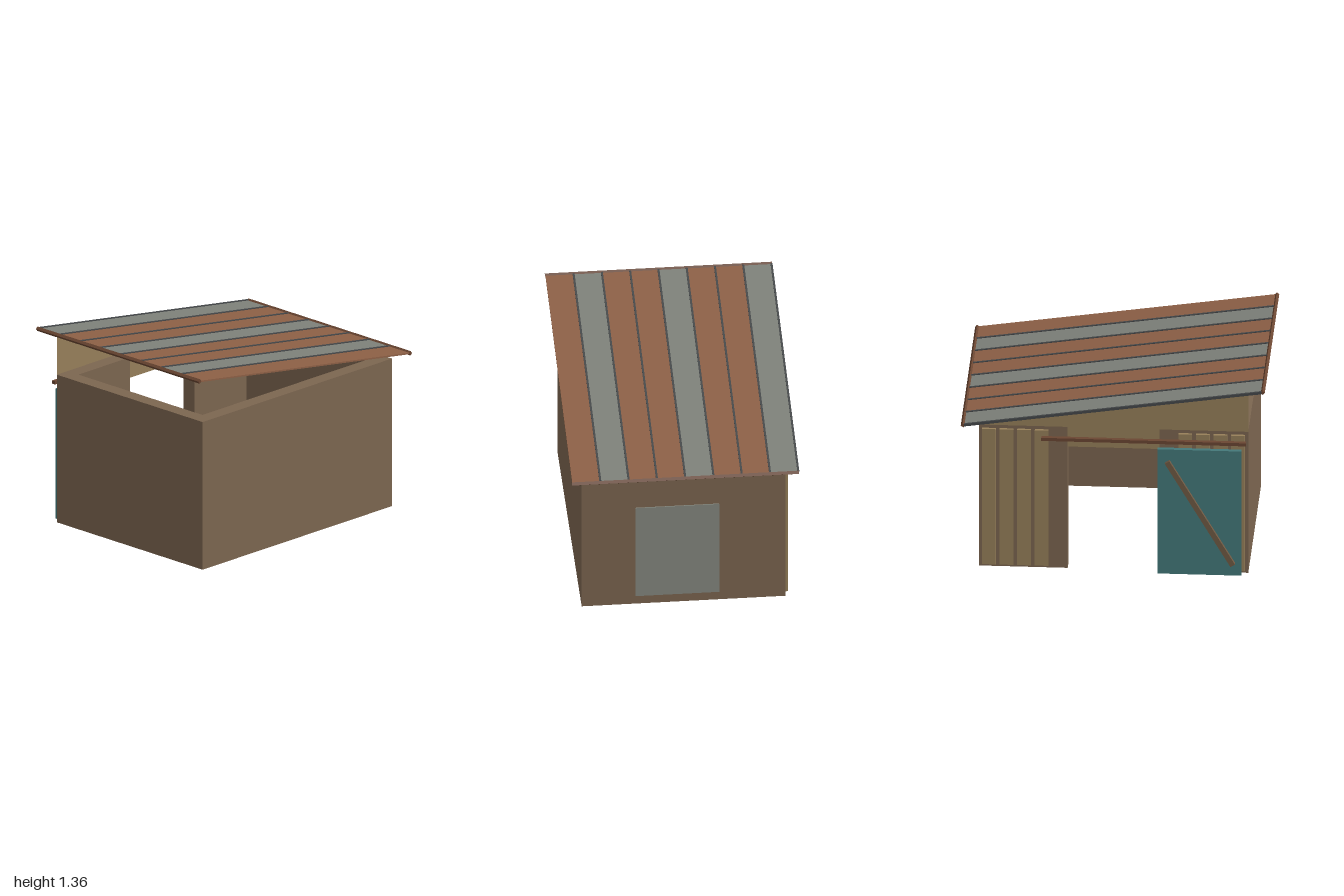
import * as THREE from 'three';

const mat = (color, extra = {}) => new THREE.MeshStandardMaterial({ color, ...extra });
const wallMat = mat(0x7c6650);
const timber = mat(0x97805a);
const gableMat = mat(0x97805a, { side: THREE.DoubleSide });
const glass = mat(0x868980);
const rust = mat(0x8c5f45);
const zinc = mat(0x7d8079);
const seamMat = mat(0x45484a);
const trimMat = mat(0x6b4632);
const teal = mat(0x44797a);
const braceMat = mat(0x6f5a44);

// Box given by its minimum and maximum corners
function box(parent, name, material, [x0, y0, z0], [x1, y1, z1]) {
  const mesh = new THREE.Mesh(new THREE.BoxGeometry(x1 - x0, y1 - y0, z1 - z0), material);
  mesh.position.set((x0 + x1) / 2, (y0 + y1) / 2, (z0 + z1) / 2);
  mesh.name = name;
  parent.add(mesh);
  return mesh;
}

const W = 0.882, H = 1.022, ZF = 0.672, ZB = -0.665, T = 0.1;

function createWalls() {
  const g = new THREE.Group();
  g.name = 'walls';
  box(g, 'frontWall', wallMat, [-W, 0, ZF - T], [W, H, ZF]);
  for (const s of [-1, 1]) {
    const side = box(g, s > 0 ? 'leftWall' : 'rightWall', wallMat, [W - T, 0, ZB + T], [W, H, ZF - T]);
    side.position.x *= s;
    // Back wall beside the doorway
    const back = box(g, 'backWall', wallMat, [0.3, 0, ZB], [W, H, ZB + T]);
    back.position.x *= s;
    // Upright boards on the back wall
    for (let i = 0; i < 4; i++) {
      const x = 0.77 - i * 0.115;
      const board = box(g, 'board', timber, [x, 0.02, ZB - 0.02], [x + 0.09, 1.0, ZB]);
      board.position.x *= s;
    }
  }
  box(g, 'lintel', timber, [-0.3, 0.88, ZB], [0.3, H, ZB + T]);

  // Thin sloping gable above the back wall
  const tri = new THREE.Shape([
    new THREE.Vector2(-W, H), new THREE.Vector2(W, H), new THREE.Vector2(-W, 1.31),
  ]);
  const gable = new THREE.Mesh(new THREE.ShapeGeometry(tri), gableMat);
  gable.position.z = ZB;
  gable.name = 'gable';
  g.add(gable);

  box(g, 'window', glass, [W - 0.005, 0.063, -0.23], [W + 0.006, 0.765, 0.32]);
  return g;
}

function createDoor() {
  const g = new THREE.Group();
  g.name = 'slidingDoor';
  box(g, 'doorPanel', teal, [-0.84, 0.003, -0.718], [-0.29, 0.903, -0.688]);
  box(g, 'doorRail', trimMat, [-0.87, 0.943, -0.722], [0.47, 0.965, -0.694]);

  // Diagonal brace across the door
  const top = new THREE.Vector2(-0.355, 0.82), low = new THREE.Vector2(-0.785, 0.085);
  const d = top.clone().sub(low);
  const brace = new THREE.Mesh(new THREE.BoxGeometry(d.length(), 0.035, 0.026), braceMat);
  brace.position.set((top.x + low.x) / 2, (top.y + low.y) / 2, -0.731);
  brace.rotation.z = d.angle();
  brace.name = 'doorBrace';
  g.add(brace);
  return g;
}

function createRoof() {
  const g = new THREE.Group();
  g.name = 'roof';
  const L = 0.985, pitch = 0.1855, z0 = -0.742;
  for (let i = 0; i < 8; i++) {
    const z = z0 + i * pitch;
    const sheet = [0, 3, 6].includes(i) ? zinc : rust;
    box(g, 'roofSheet', sheet, [-L, -0.006, z], [L, 0.004, z + pitch]);
    // Raised seam along the edge of the sheet
    box(g, 'roofSeam', seamMat, [-L, -0.008, z - 0.005], [L, 0.01, z + 0.008]);
  }
  // Trims along the high and low ends
  for (const s of [-1, 1]) {
    const trim = new THREE.Mesh(new THREE.BoxGeometry(0.021, 0.021, 1.49), trimMat);
    trim.position.x = s * 0.992;
    trim.rotation.z = Math.PI / 4;
    trim.name = 'roofTrim';
    g.add(trim);
  }
  g.rotation.z = -0.149;
  g.position.y = 1.198;
  return g;
}

export function createModel() {
  const model = new THREE.Group();
  model.name = 'shed';
  model.add(createWalls(), createDoor(), createRoof());
  return model;
}
